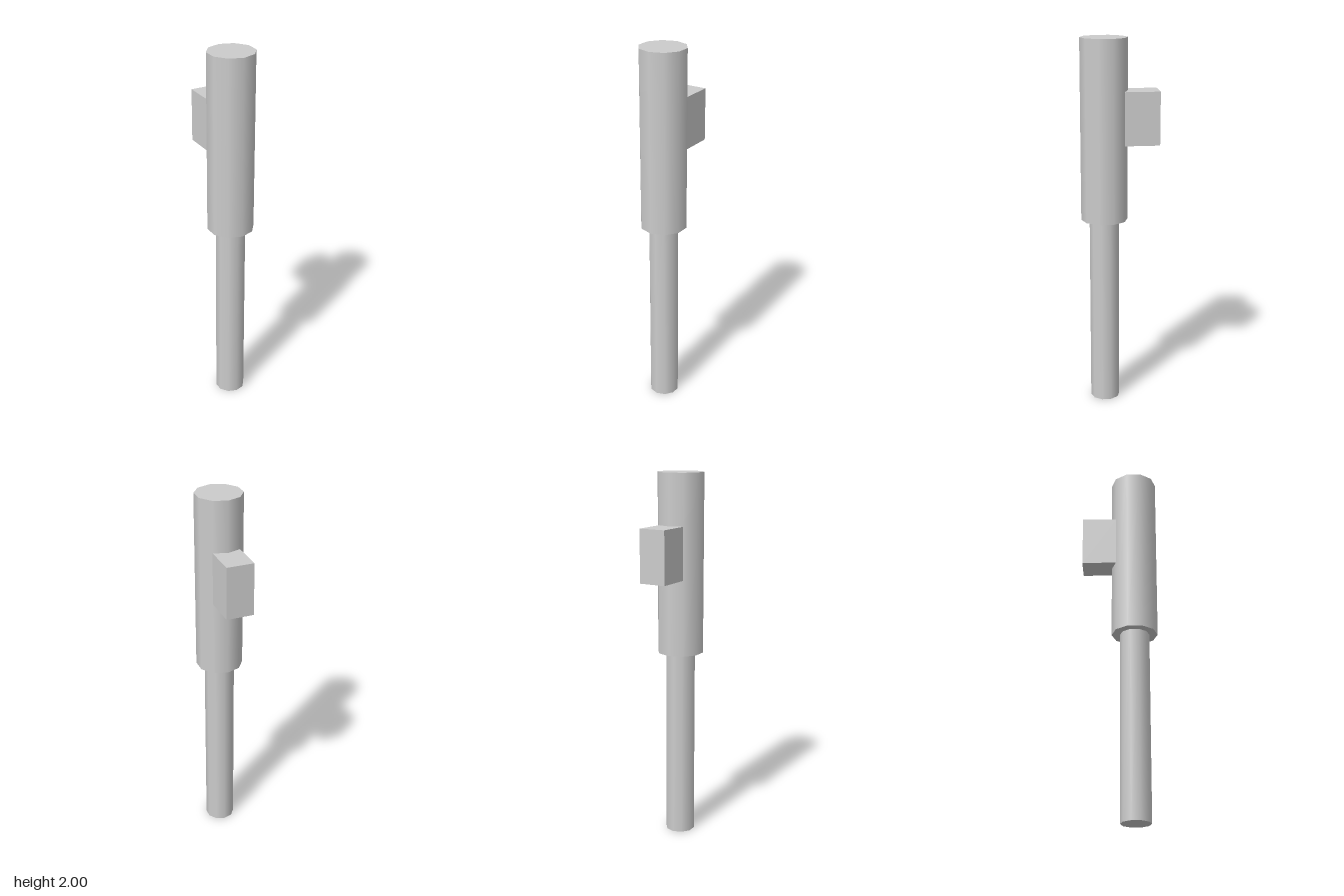
import * as THREE from 'three';

const SIDES = 10;
const AXIS_Z = 0.08; // both cylinders share this vertical axis

export function createModel() {
  const model = new THREE.Group();
  const material = new THREE.MeshStandardMaterial({ color: 0xcccccc });

  function add(name, geometry, y, z) {
    const mesh = new THREE.Mesh(geometry, material);
    mesh.name = name;
    mesh.position.set(0, y, z);
    model.add(mesh);
  }

  // Upright ten-sided cylinder between two heights
  function addCylinder(name, radius, bottom, top) {
    const geometry = new THREE.CylinderGeometry(radius, radius, top - bottom, SIDES);
    add(name, geometry, (bottom + top) / 2, AXIS_Z);
  }

  addCylinder('lowerShaft', 0.08, 0, 1.035);
  addCylinder('upperBarrel', 0.125, 1.035, 2);

  // Block on the back of the barrel, meeting it at the barrel's edges
  const front = -0.021, back = -0.207, bottom = 1.445, top = 1.727;
  add('rearBlock', new THREE.BoxGeometry(0.147, top - bottom, front - back),
    (bottom + top) / 2, (front + back) / 2);

  return model;
}
